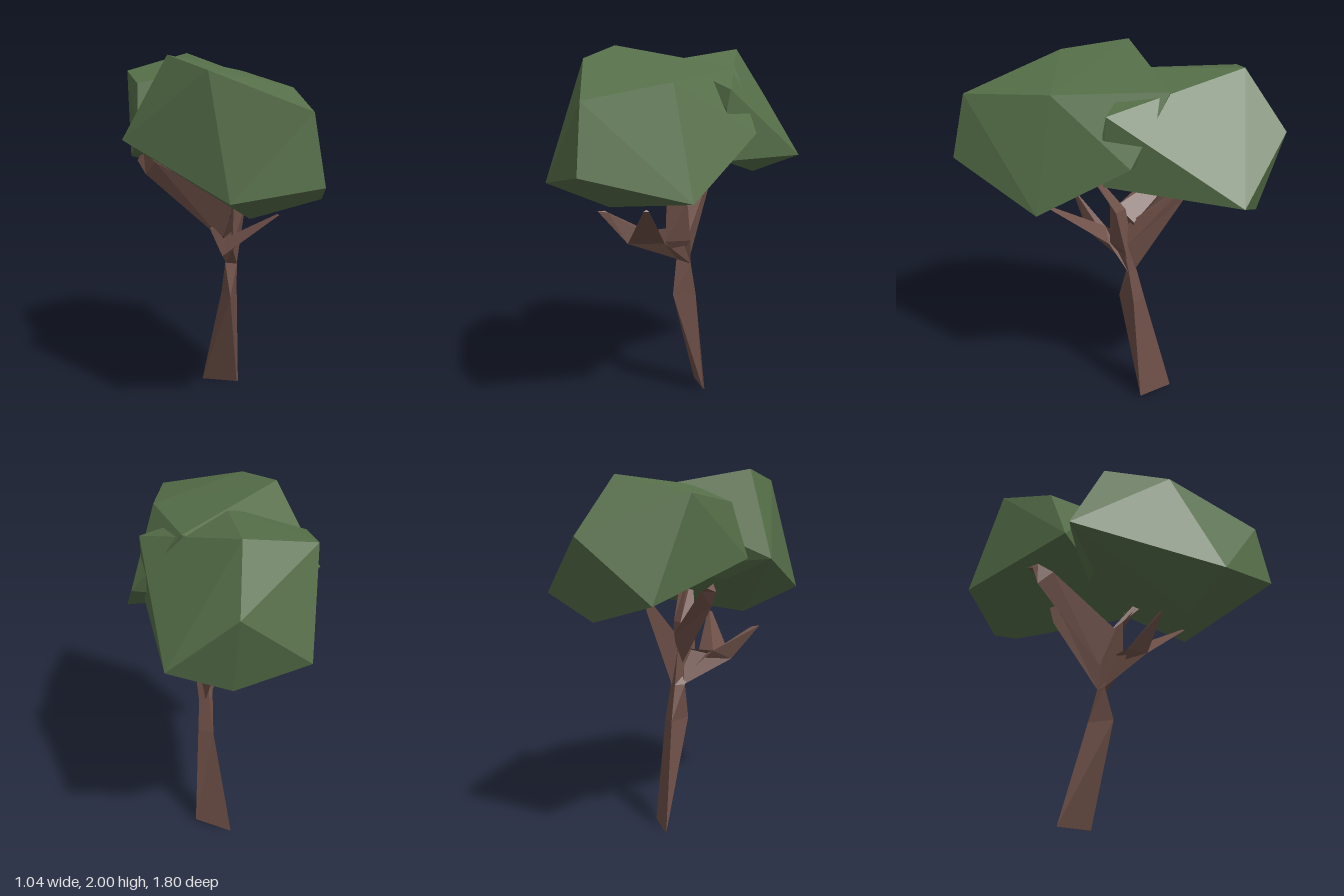
import * as THREE from 'three';
import { ConvexGeometry } from 'three/addons/geometries/ConvexGeometry.js';

const bark = new THREE.MeshStandardMaterial({ color: 0x6d4f47 });
bark.name = 'barkBrown';
const leaf = new THREE.MeshStandardMaterial({ color: 0x566f49 });
leaf.name = 'leafGreen';

const vec = (p) => new THREE.Vector3(p[0], p[1], p[2]);

// Flat-shaded skin over a stack of three-cornered cross-sections, closed at both ends
function loft(sections) {
  const rings = sections.map((ring) => ring.map(vec));
  const tris = [];
  for (let k = 0; k < rings.length - 1; k++) {
    const a = rings[k], b = rings[k + 1];
    for (let i = 0; i < 3; i++) {
      const j = (i + 1) % 3;
      tris.push(a[i], a[j], b[j], a[i], b[j], b[i]);
    }
  }
  const s = rings[0], e = rings[rings.length - 1];
  tris.push(s[0], s[2], s[1], e[0], e[1], e[2]);
  const geo = new THREE.BufferGeometry().setFromPoints(tris);
  geo.computeVertexNormals();
  return geo;
}

const hull = (points) => new ConvexGeometry(points.map(vec));

export function createModel() {
  const group = new THREE.Group();
  group.name = 'tree';
  const add = (name, geo, mat) => {
    const mesh = new THREE.Mesh(geo, mat);
    mesh.name = name;
    group.add(mesh);
  };

  // Leaning trunk, narrow wedge at the foot, running up into the middle stem
  add('trunk', loft([
    [[0.2, 0.01, -0.17], [0.03, 0, -0.32], [0.19, 0.01, -0.168]],
    [[0.165, 0.6, -0.12], [0.09, 0.6, -0.17], [0.075, 0.6, -0.02]],
    [[0.15, 0.78, -0.09], [0.1, 0.8, -0.12], [0.065, 0.8, -0.07]],
    [[0.16, 0.92, -0.07], [0.1, 0.92, -0.1], [0.06, 0.92, 0.035]],
    [[0.17, 1.15, -0.02], [0.1, 1.15, -0.06], [0.07, 1.2, 0.035]],
    [[0.22, 1.42, 0.14], [0.17, 1.42, 0.14], [0.19, 1.42, 0.22]],
  ]), bark);

  // Front branch, forking into a left and a right prong
  const fork = [[0.06, 0.91, 0.04], [-0.03, 0.98, 0.08], [-0.08, 0.92, 0.2]];
  add('frontBranch', loft([
    [[0.15, 0.78, -0.09], [0.1, 1.0, -0.03], [0.07, 0.8, -0.07]],
    fork,
    [[-0.16, 1.1, 0.27], [-0.18, 1.11, 0.28], [-0.205, 1.11, 0.31]],
  ]), bark);
  add('frontProng', loft([
    fork,
    [[0.18, 1.156, 0.36], [0.168, 1.167, 0.366], [0.16, 1.158, 0.384]],
  ]), bark);

  // Wedge-shaped branches to the back
  add('sideBranch', loft([
    [[0.06, 0.93, -0.1], [0.08, 1.16, -0.01], [0.12, 1.08, -0.11]],
    [[-0.3, 1.3, -0.38], [-0.27, 1.38, -0.3], [-0.25, 1.38, -0.4]],
    [[-0.34, 1.38, -0.4], [-0.31, 1.42, -0.38], [-0.31, 1.4, -0.44]],
  ]), bark);
  add('rearBranch', loft([
    [[0.12, 0.8, -0.12], [0.1, 1.06, -0.07], [0.14, 0.95, -0.08]],
    [[0.1, 1.25, -0.39], [0.1, 1.29, -0.34], [0.115, 1.28, -0.36]],
    [[0.1, 1.44, -0.435], [0.1, 1.445, -0.425], [0.105, 1.445, -0.43]],
  ]), bark);

  // Front leaf mass
  add('frontCanopy', hull([
    [-0.31, 2.0, 0.0], [-0.24, 1.94, 0.37], [0.11, 1.76, 0.83], [0.14, 1.4, 0.9],
    [-0.26, 1.31, 0.67], [-0.03, 1.17, 0.43], [0.45, 1.22, 0.35], [0.52, 1.54, -0.16],
    [-0.52, 1.54, -0.15], [0.29, 1.88, -0.32], [0.29, 1.83, 0.3],
    [-0.2, 1.41, -0.08], [0.15, 1.47, -0.2],
  ]), leaf);

  // Rear leaf mass
  add('rearCanopy', hull([
    [0.09, 1.97, -0.67], [0.17, 1.67, -0.9], [0.49, 1.36, -0.73], [0.16, 1.23, -0.77],
    [-0.23, 1.34, -0.81], [-0.32, 1.88, -0.6], [-0.37, 1.83, -0.3], [-0.41, 1.54, -0.2],
    [0.44, 1.78, -0.02], [0.43, 1.68, 0.0], [0.42, 1.4, 0.0], [0.0, 1.92, -0.1],
  ]), leaf);

  return group;
}
